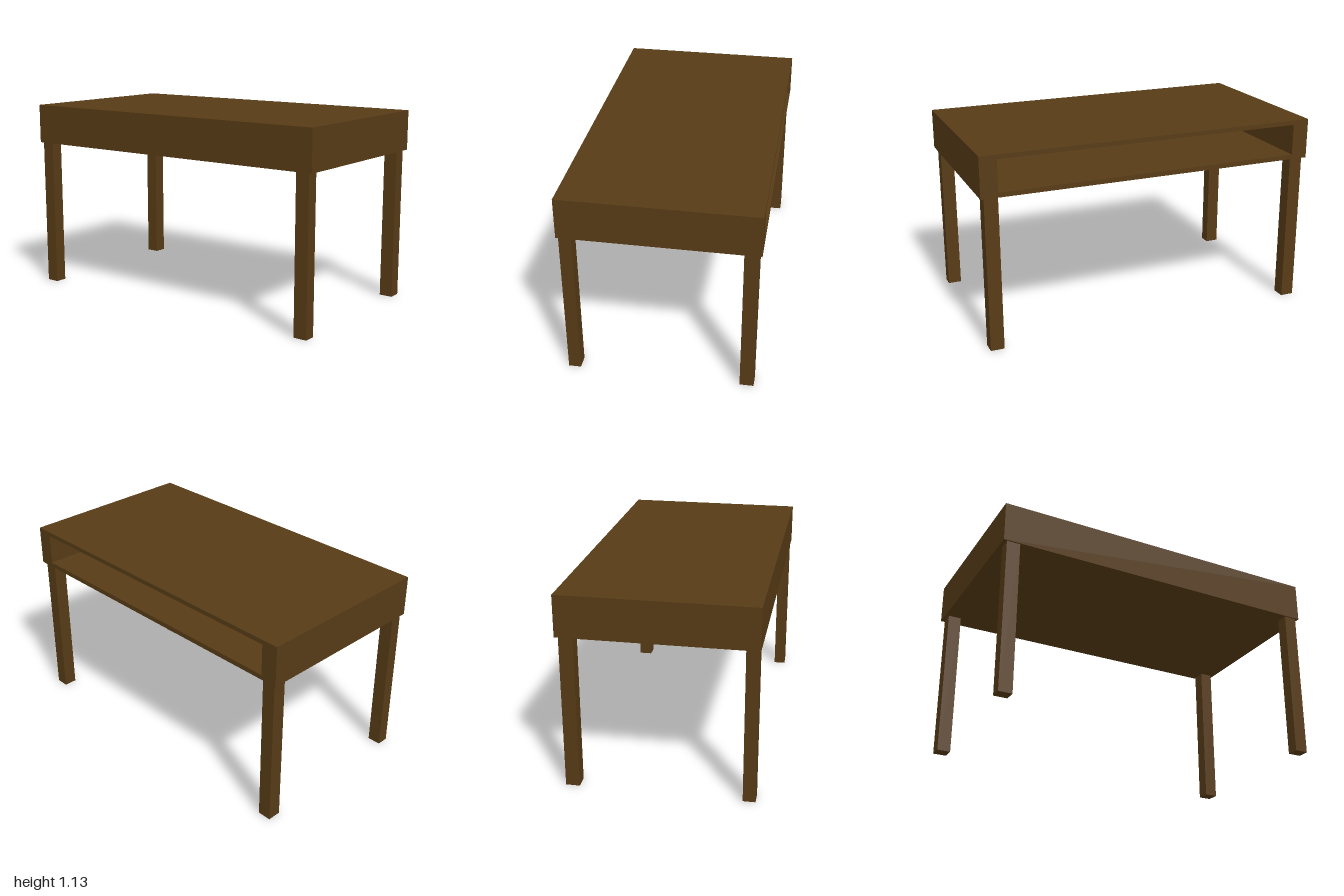
import * as THREE from 'three';

export function createModel() {
  const model = new THREE.Group();
  model.name = 'desk';
  const wood = new THREE.MeshStandardMaterial({ color: 0x573b16, flatShading: true });

  const add = (name, geometry, x, y, z) => {
    const mesh = new THREE.Mesh(geometry, wood);
    mesh.name = name;
    mesh.position.set(x, y, z);
    model.add(mesh);
    return mesh;
  };

  const bottom = 0.896, top = 1.132, height = top - bottom;
  const left = 0.543, right = -0.543, panel = 0.03;

  // Rectangle outline in the z-y plane
  const rectangle = (PathType, halfDepth, y0, y1) => new PathType([
    new THREE.Vector2(-halfDepth, y0), new THREE.Vector2(halfDepth, y0),
    new THREE.Vector2(halfDepth, y1), new THREE.Vector2(-halfDepth, y1),
  ]);

  // Table body: a sleeve with a long storage slot open on the +x side
  const section = rectangle(THREE.Shape, 1, bottom, top);
  section.holes.push(rectangle(THREE.Path, 0.902, 0.924, 1.106));
  const sleeve = new THREE.ExtrudeGeometry(section, {
    depth: left - right - panel, bevelEnabled: false,
  });
  sleeve.rotateY(Math.PI / 2);
  add('tableBody', sleeve, right + panel, 0, 0);

  // Panel closing the far side of the slot
  add('closedSidePanel', new THREE.BoxGeometry(panel, height, 2),
    right + panel / 2, bottom + height / 2, 0);

  // Four square legs, set in slightly from the edges
  for (const [side, x, width] of [['left', 0.488, 0.079], ['right', -0.5, 0.07]]) {
    for (const [end, z] of [['Front', 0.94], ['Back', -0.94]]) {
      add(`${side}${end}Leg`, new THREE.BoxGeometry(width, bottom, 0.079), x, bottom / 2, z);
    }
  }
  return model;
}
